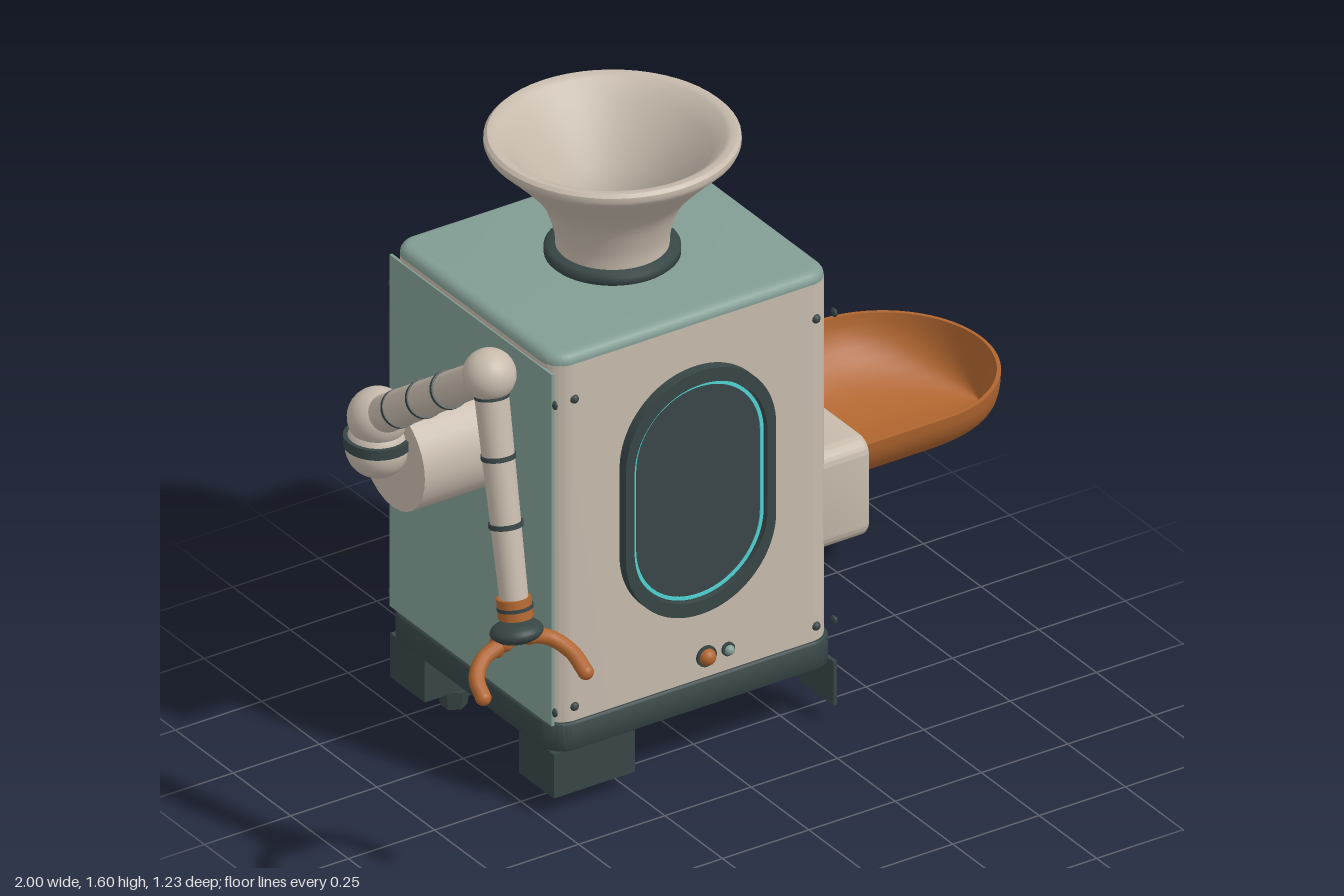
import * as THREE from 'three';
import { toCreasedNormals } from 'three/addons/utils/BufferGeometryUtils.js';

const paint = (name, color, side = THREE.FrontSide) =>
  Object.assign(new THREE.MeshStandardMaterial({ color, side }), { name });
const V = (x, y, z) => new THREE.Vector3(x, y, z);

export function createModel() {
  const cream = paint('cream', 0xc6baac);
  const creamShell = cream.clone();
  creamShell.side = THREE.DoubleSide;
  const teal = paint('sage teal', 0x829d94);
  const dark = paint('dark slate', 0x384646);
  const glass = paint('dark glass', 0x3a4648);
  const orange = paint('burnt orange', 0xb0652f, THREE.DoubleSide);
  const cyan = paint('cyan glow', 0x4fd3d3);

  const model = new THREE.Group();
  model.name = 'machine';
  const CX = -0.07, CZ = -0.25;

  const add = (name, geo, mat, x = 0, y = 0, z = 0, parent = model) => {
    const mesh = new THREE.Mesh(geo, mat);
    mesh.name = name;
    mesh.position.set(x, y, z);
    parent.add(mesh);
    return mesh;
  };
  const box = (name, mat, x0, x1, y0, y1, z0, z1) =>
    add(name, new THREE.BoxGeometry(x1 - x0, y1 - y0, z1 - z0), mat,
      (x0 + x1) / 2, (y0 + y1) / 2, (z0 + z1) / 2);

  // Rounded rectangle centred on the origin, as a shape or a hole
  const roundRect = (w, h, r, Type = THREE.Shape) => {
    const s = new Type(), a = w / 2 - r, b = h / 2 - r;
    s.absarc(a, b, r, 0, Math.PI / 2);
    s.absarc(-a, b, r, Math.PI / 2, Math.PI);
    s.absarc(-a, -b, r, Math.PI, Math.PI * 1.5);
    s.absarc(a, -b, r, Math.PI * 1.5, Math.PI * 2);
    s.closePath();
    return s;
  };
  const extrude = (shape, depth, bevel = 0) => toCreasedNormals(
    new THREE.ExtrudeGeometry(shape, {
      depth: depth - 2 * bevel, curveSegments: 14, bevelEnabled: bevel > 0,
      bevelSize: bevel, bevelThickness: bevel, bevelOffset: -bevel, bevelSegments: 4,
    }).translate(0, 0, bevel), 0.6);
  const slab = (name, mat, w, d, r, y0, y1, bevel) =>
    add(name, extrude(roundRect(w, d, r), y1 - y0, bevel).rotateX(-Math.PI / 2), mat, CX, y0, CZ);

  // Cabinet, lid and plinth
  slab('cabinet', cream, 0.81, 0.71, 0.06, 0.24, 1.237, 0);
  slab('lid', teal, 0.81, 0.71, 0.06, 1.21, 1.265, 0.026);
  slab('plinth', dark, 0.825, 0.73, 0.065, 0.17, 0.248, 0.008);

  // Side panels
  box('rightStripe', teal, 0.33, 0.338, 0.27, 1.235, -0.4, -0.095);
  box('leftPanel', teal, -0.479, -0.471, 0.25, 1.225, -0.602, 0.102);

  // Legs: blocks with feet on one side, thin brackets on the other
  for (const [z0, z1, zf] of [[-0.045, 0.105, -0.018], [-0.605, -0.455, -0.483]]) {
    box('legBlock', dark, -0.475, -0.24, 0.05, 0.172, z0, z1);
    box('legBracket', dark, 0.335, 0.345, 0.05, 0.172, z0, z1);
    const foot = new THREE.CylinderGeometry(0.04, 0.033, 0.05, 6).toNonIndexed();
    foot.computeVertexNormals();
    add('foot', foot, dark, -0.372, 0.025, zf);
  }

  // Corner screws
  const screw = new THREE.SphereGeometry(0.012, 12, 8);
  for (const y of [0.287, 1.14])
    for (const z of [0.103, -0.603]) {
      for (const x of [-0.415, 0.285]) add('screw', screw, dark, x, y, z);
      for (const x of [-0.472, 0.338]) add('sideScrew', screw, dark, x, y, z).scale.set(0.5, 1, 1);
    }

  // Front window: raised frame, glass and glowing outline
  const wx = -0.067, wy = 0.783;
  const frame = roundRect(0.435, 0.675, 0.215);
  frame.holes.push(roundRect(0.385, 0.6, 0.19, THREE.Path));
  add('windowFrame', extrude(frame, 0.035), dark, wx, wy, 0.098);
  add('windowGlass', extrude(roundRect(0.39, 0.605, 0.19), 0.018), glass, wx, wy, 0.1);
  const glow = roundRect(0.378, 0.592, 0.187);
  glow.holes.push(roundRect(0.36, 0.574, 0.178, THREE.Path));
  add('windowGlow', extrude(glow, 0.004), cyan, wx, wy, 0.117);

  // Front controls
  const socket = (r, x) => add('buttonSocket',
    new THREE.CylinderGeometry(r, r, 0.012, 24).rotateX(Math.PI / 2), dark, x, 0.307, 0.106);
  socket(0.028, -0.035);
  socket(0.018, 0.028);
  add('button', new THREE.SphereGeometry(0.022, 20, 12), orange, -0.035, 0.307, 0.112);
  add('lamp', new THREE.SphereGeometry(0.013, 16, 10), teal, 0.028, 0.307, 0.114);

  // Hopper: collar and flared funnel
  const HX = -0.066, HZ = -0.253;
  add('hopperCollar', toCreasedNormals(new THREE.LatheGeometry([
    [0.12, 1.262], [0.158, 1.262], [0.166, 1.27], [0.166, 1.288], [0.158, 1.296], [0.12, 1.296],
  ].map(p => new THREE.Vector2(...p)), 48), 0.9), dark, HX, 0, HZ);
  const outer = new THREE.SplineCurve([[0.138, 1.29], [0.143, 1.34], [0.172, 1.42], [0.228, 1.49], [0.308, 1.57]]
    .map(p => new THREE.Vector2(...p))).getPoints(16);
  const rim = [[0.312, 1.58], [0.311, 1.592], [0.303, 1.6], [0.288, 1.6], [0.276, 1.594], [0.24, 1.555]];
  const inner = [[0.2, 1.495], [0.15, 1.42], [0.122, 1.35], [0.117, 1.268]];
  const funnel = [...outer, ...[...rim, ...inner].map(p => new THREE.Vector2(...p))];
  add('hopperFunnel', toCreasedNormals(new THREE.LatheGeometry(funnel, 56), 0.7), creamShell, HX, 0, HZ);

  // Chute: rounded frame, back plate and boat-shaped spout
  const chute = roundRect(0.67, 0.275, 0.045);
  chute.holes.push(roundRect(0.585, 0.185, 0.02, THREE.Path));
  add('chuteFrame', extrude(chute, 0.155, 0.018).rotateY(Math.PI / 2), cream, 0.305, 0.6025, CZ);
  box('chuteBack', cream, 0.338, 0.345, 0.5, 0.72, -0.55, 0.05);

  const rows = 28, arc = 20, pos = [], idx = [];
  const START = 0.43, STRAIGHT = 0.715, R = 0.285, TOP = 0.695;
  for (let i = 0; i <= rows; i++) {
    const t = i / rows;
    const a = Math.max(0, (t - 0.2) / 0.8) * Math.PI / 2;
    const x = t < 0.2 ? START + (STRAIGHT - START) * t / 0.2 : STRAIGHT + R * Math.sin(a);
    const w = R * Math.cos(a);
    for (let s = 0; s < 2; s++)
      for (let j = 0; j <= arc; j++) {
        const b = Math.PI * (s ? 1 - j / arc : j / arc);
        const wide = Math.max(0, w - s * 0.01), deep = 0.18 - s * 0.009;
        pos.push(x - s * 0.008 * t, TOP - deep * Math.sin(b), CZ + wide * Math.cos(b));
      }
  }
  const ring = 2 * (arc + 1);
  for (let i = 0; i < rows; i++)
    for (let j = 0; j < ring; j++) {
      const a = i * ring + j, b = i * ring + (j + 1) % ring;
      idx.push(a, b, a + ring, b, b + ring, a + ring);
    }
  const spout = new THREE.BufferGeometry();
  spout.setAttribute('position', new THREE.Float32BufferAttribute(pos, 3));
  spout.setIndex(idx);
  spout.computeVertexNormals();
  add('chuteSpout', toCreasedNormals(spout, 0.7), orange);

  // Arm
  const arm = new THREE.Group();
  arm.name = 'arm';
  model.add(arm);
  const rod = (name, mat, a, b, ra, rb = ra) => {
    const d = b.clone().sub(a), mid = a.clone().add(b).multiplyScalar(0.5);
    const mesh = add(name, new THREE.CylinderGeometry(rb, ra, d.length(), 28), mat, mid.x, mid.y, mid.z, arm);
    mesh.quaternion.setFromUnitVectors(V(0, 1, 0), d.normalize());
    return mesh;
  };
  const ball = (name, mat, p, r) => add(name, new THREE.SphereGeometry(r, 28, 18), mat, p.x, p.y, p.z, arm);
  const bands = (a, b, r, stops) => {
    const step = b.clone().sub(a).normalize().multiplyScalar(0.006);
    for (const t of stops) {
      const p = a.clone().lerp(b, t);
      rod('armBand', dark, p.clone().sub(step), p.clone().add(step), r);
    }
  };
  const shoulder = V(-0.74, 1.02, -0.262), elbow = V(-0.812, 1.442, 0.33), wrist = V(-0.832, 0.885, 0.468);
  const hand = V(-0.835, 0.81, 0.483);
  rod('armMount', cream, V(-0.7, 0.9, -0.258), V(-0.47, 0.9, -0.258), 0.141);
  ball('shoulderLower', cream, V(-0.74, 0.94, -0.262), 0.08);
  rod('shoulderRing', dark, V(-0.74, 0.945, -0.262), V(-0.74, 0.972, -0.262), 0.084);
  ball('shoulder', cream, shoulder, 0.075);
  ball('elbow', cream, elbow, 0.066);
  rod('upperArm', cream, shoulder, elbow, 0.048, 0.042);
  bands(shoulder, elbow, 0.049, [0.2, 0.42, 0.64]);
  rod('forearm', cream, elbow, wrist, 0.043, 0.035);
  bands(elbow, wrist, 0.043, [0.09, 0.36, 0.66]);

  // Hand: cuff, palm ring and three curled fingers
  rod('wristCuff', orange, V(-0.832, 0.895, 0.466), V(-0.834, 0.845, 0.477), 0.043);
  rod('wristBand', dark, V(-0.832, 0.876, 0.47), V(-0.832, 0.867, 0.472), 0.045);
  const palm = ball('palm', dark, hand, 0.066);
  palm.scale.y = 0.45;
  palm.rotation.x = -0.24;
  const fingers = [
    [V(-0.87, 0.79, 0.482), V(-0.935, 0.765, 0.487), V(-0.972, 0.735, 0.515), V(-0.98, 0.705, 0.555)],
    [V(-0.8, 0.79, 0.485), V(-0.745, 0.768, 0.495), V(-0.713, 0.74, 0.54), V(-0.708, 0.708, 0.592)],
    [V(-0.833, 0.79, 0.465), V(-0.828, 0.762, 0.425), V(-0.822, 0.735, 0.385), V(-0.82, 0.7, 0.373)],
  ];
  for (const pts of fingers) {
    add('finger', new THREE.TubeGeometry(new THREE.CatmullRomCurve3(pts), 20, 0.02, 12), orange, 0, 0, 0, arm);
    ball('fingerTip', orange, pts[3], 0.02);
    ball('knuckle', orange, pts[0], 0.025);
  }
  return model;
}
